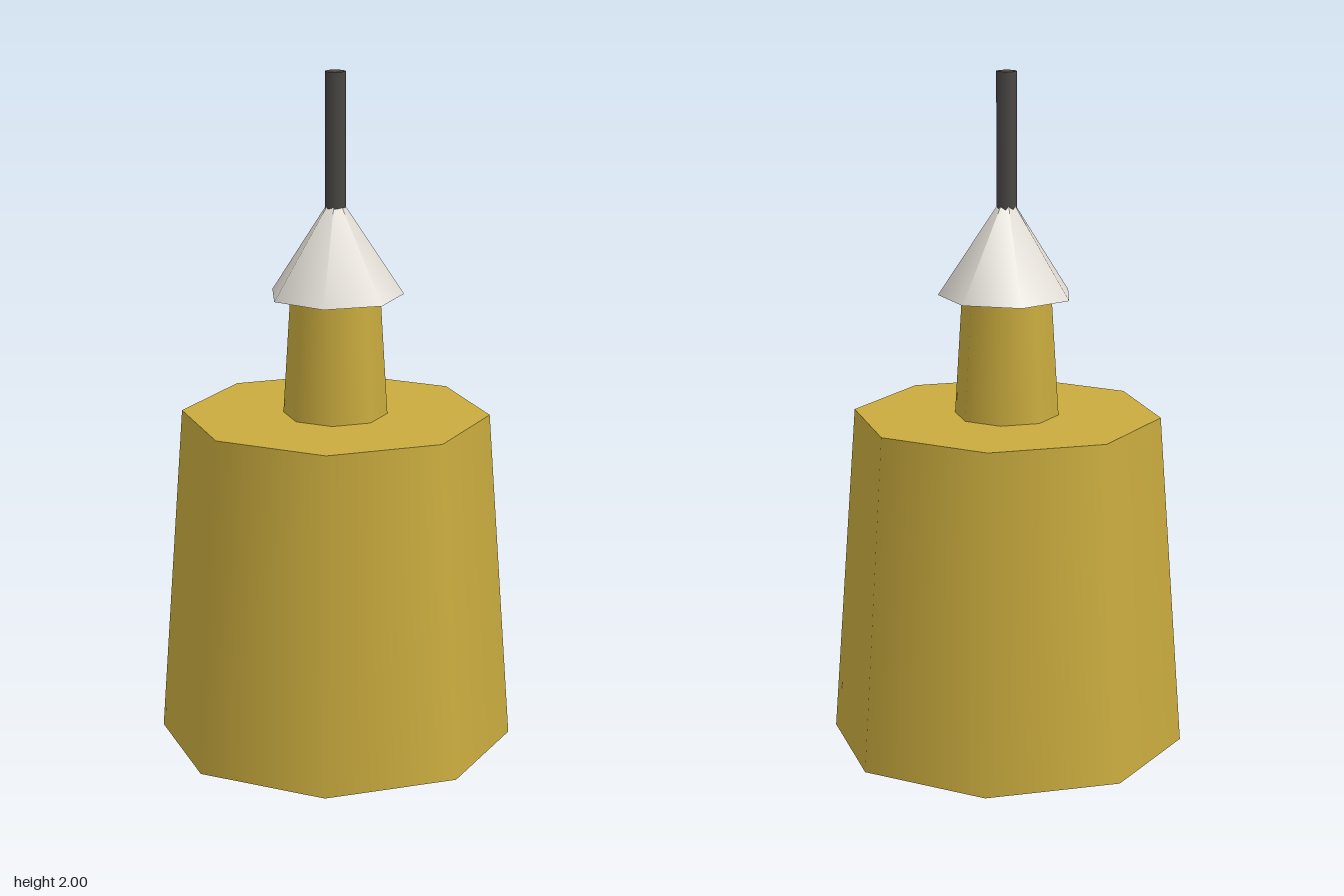
import * as THREE from 'three';

const gold = new THREE.MeshStandardMaterial({ name: 'gold', color: 0xc9ab3e });
const paleGrey = new THREE.MeshStandardMaterial({ name: 'paleGrey', color: 0xe0dcd4 });
const darkGrey = new THREE.MeshStandardMaterial({ name: 'darkGrey', color: 0x4a4744 });

// Capped, tapered column standing between two heights
function column(name, material, sides, bottomRadius, topRadius, y0, y1) {
  const geometry = new THREE.CylinderGeometry(topRadius, bottomRadius, y1 - y0, sides);
  const mesh = new THREE.Mesh(geometry, material);
  mesh.name = name;
  mesh.position.y = (y0 + y1) / 2;
  return mesh;
}

export function createModel() {
  const model = new THREE.Group();
  model.name = 'model';

  // Wide tapered body and narrow neck
  model.add(column('body', gold, 8, 0.525, 0.453, 0, 0.995));
  model.add(column('neck', gold, 8, 0.153, 0.13, 0.995, 1.37));

  // Seven-sided conical cap
  const cap = new THREE.Mesh(new THREE.ConeGeometry(0.2, 0.305, 7), paleGrey);
  cap.name = 'cap';
  cap.position.y = 1.35 + 0.305 / 2;
  model.add(cap);

  // Thin rod rising from the cap
  model.add(column('rod', darkGrey, 8, 0.03, 0.03, 1.6, 2));

  return model;
}
